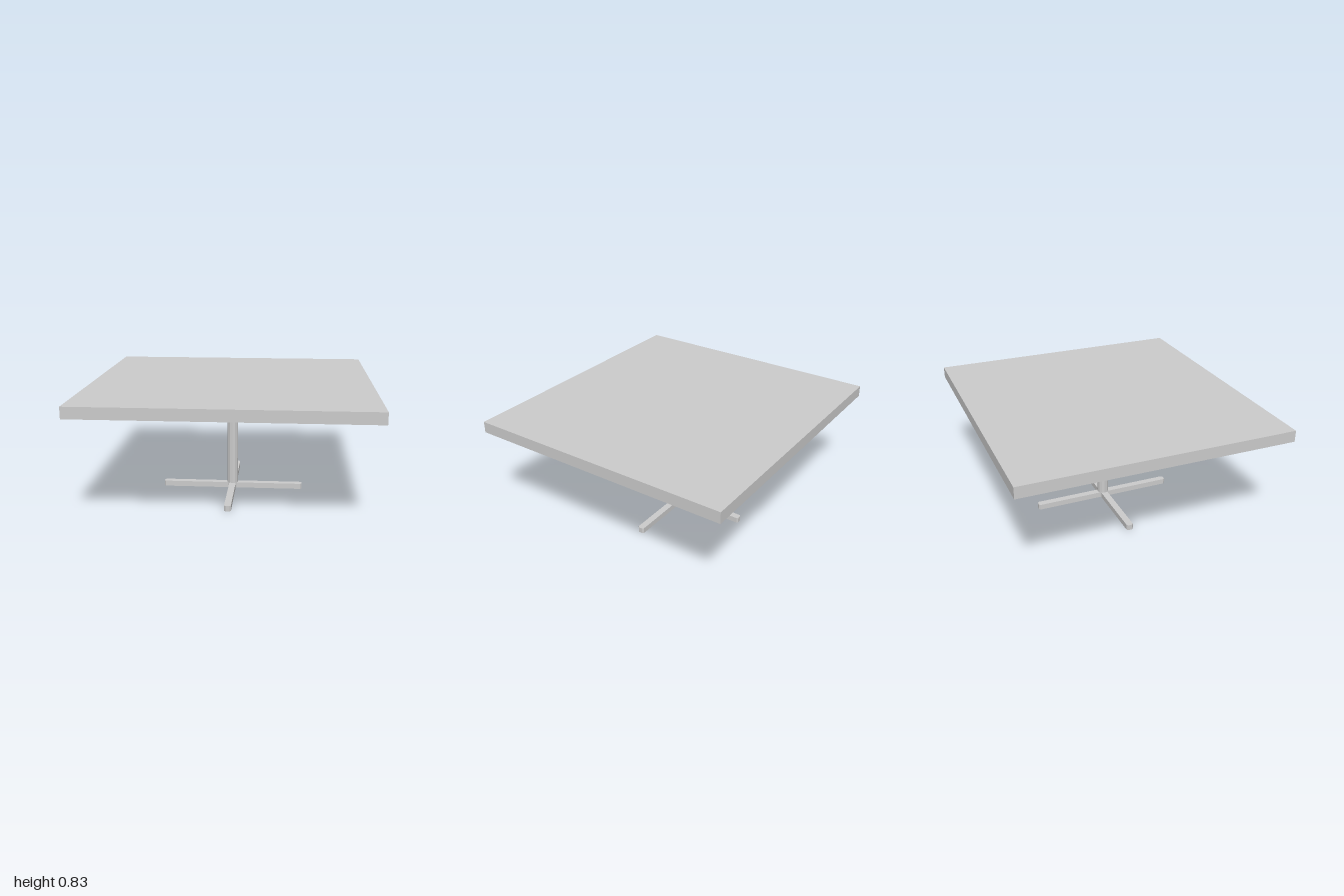
import * as THREE from 'three';

export function createModel() {
  const group = new THREE.Group();
  const material = new THREE.MeshStandardMaterial({ color: 0xcccccc, flatShading: true });
  const add = (name, geometry, y) => {
    const mesh = new THREE.Mesh(geometry, material);
    mesh.name = name;
    mesh.position.y = y;
    group.add(mesh);
    return mesh;
  };

  const topBottom = 0.75, topThickness = 0.08;
  add('tableTop', new THREE.BoxGeometry(2, topThickness, 1.9), topBottom + topThickness / 2);
  add('column', new THREE.CylinderGeometry(0.04, 0.04, topBottom, 12), topBottom / 2);

  // Four flat feet in a cross, each with chamfered outer corners
  const length = 0.52, half = 0.024, chamfer = 0.01, height = 0.04;
  const outline = new THREE.Shape([
    [0, -half], [length - chamfer, -half], [length, -half + chamfer],
    [length, half - chamfer], [length - chamfer, half], [0, half],
  ].map(([x, y]) => new THREE.Vector2(x, y)));
  const footGeometry = new THREE.ExtrudeGeometry(outline, { depth: height, bevelEnabled: false });
  footGeometry.rotateX(-Math.PI / 2);
  ['leftFoot', 'backFoot', 'rightFoot', 'frontFoot'].forEach((name, i) => {
    add(name, footGeometry, 0).rotation.y = i * Math.PI / 2;
  });

  return group;
}
